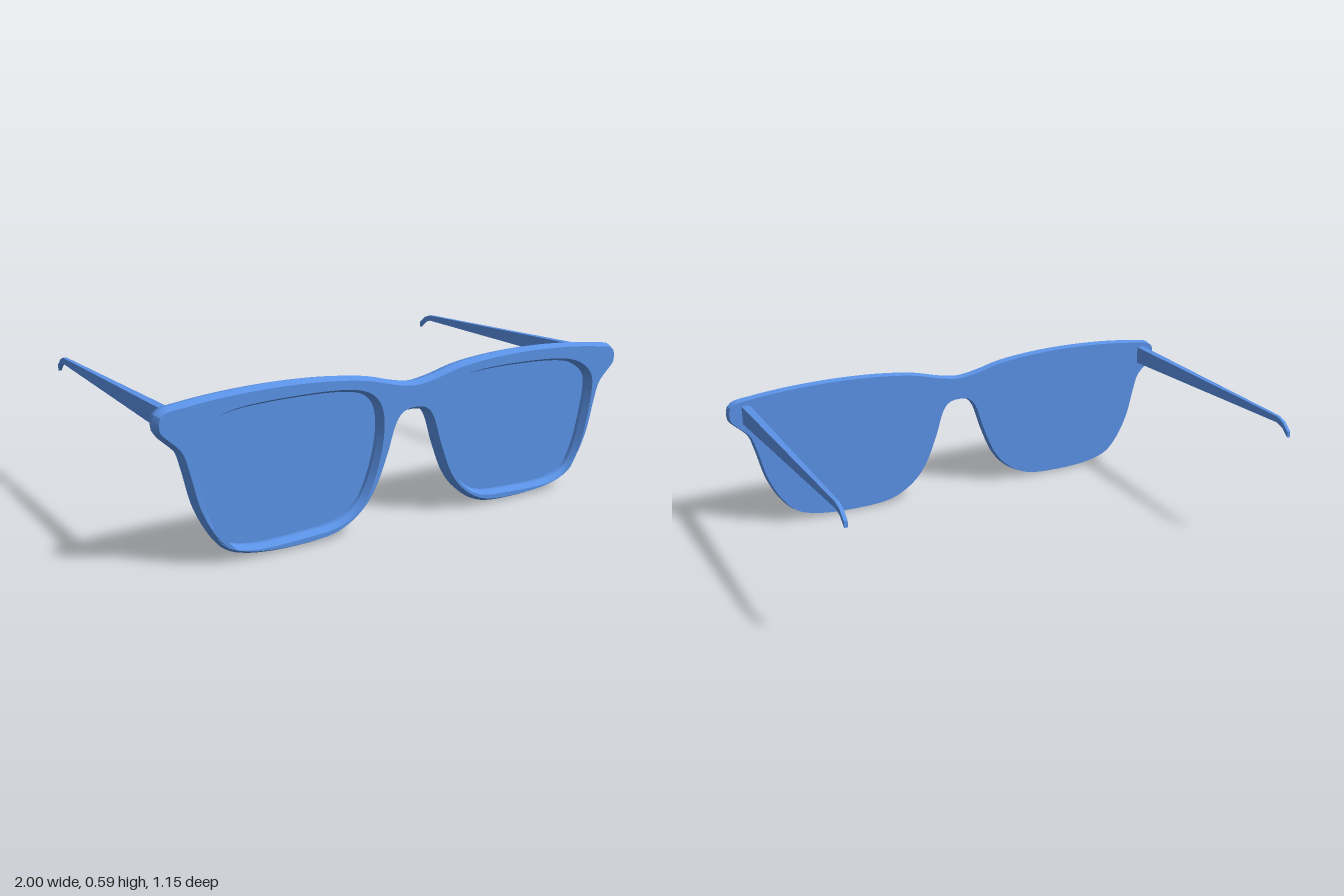
import * as THREE from 'three';
import { mergeGeometries, toCreasedNormals } from 'three/addons/utils/BufferGeometryUtils.js';

const material = new THREE.MeshStandardMaterial({ color: 0x5a92e6 });
const BACK = 0.52, MID = 0.549, FRONT = 0.575;

// Right half of the frame outline, from the top of the bridge round to the nose arch
const halfOutline = [
  [0.08, 0.538], [0.2, 0.567], [0.35, 0.585], [0.55, 0.592], [0.75, 0.585], [0.9, 0.57],
  [0.975, 0.557], [0.998, 0.535], [0.998, 0.48], [0.975, 0.455], [0.925, 0.405], [0.903, 0.34],
  [0.866, 0.205], [0.81, 0.1], [0.755, 0.045], [0.67, 0.016], [0.5, 0.003], [0.33, 0.017],
  [0.23, 0.07], [0.165, 0.145], [0.11, 0.27], [0.07, 0.385], [0.045, 0.414],
];
// Front edge of the lens opening on the +x side
const opening = [
  [0.877, 0.4], [0.868, 0.45], [0.82, 0.495], [0.74, 0.525], [0.5, 0.541], [0.257, 0.53],
  [0.187, 0.505], [0.15, 0.465], [0.135, 0.4], [0.145, 0.295], [0.187, 0.165], [0.23, 0.1],
  [0.31, 0.05], [0.47, 0.033], [0.685, 0.036], [0.77, 0.068], [0.815, 0.135], [0.85, 0.24],
];

// Smooth closed contour, anticlockwise
function contour(points, count) {
  const curve = new THREE.CatmullRomCurve3(points.map(([x, y]) => new THREE.Vector3(x, y, 0)), true);
  const pts = curve.getSpacedPoints(count).slice(0, -1).map((p) => new THREE.Vector2(p.x, p.y));
  return THREE.ShapeUtils.isClockWise(pts) ? pts.reverse() : pts;
}

// Moves a contour sideways, to the left of its direction of travel
function inset(pts, d) {
  const n = pts.length;
  return pts.map((p, i) => {
    const t = pts[(i + 1) % n].clone().sub(pts[(i + n - 1) % n]).normalize();
    return new THREE.Vector2(p.x - t.y * d, p.y + t.x * d);
  });
}

// Side wall through the [z, inset] steps of a profile, back to front
function wall(pts, profile) {
  const rings = profile.map(([z, d]) => inset(pts, d).map((p) => [p.x, p.y, z]));
  const position = [];
  for (let k = 0; k + 1 < rings.length; k++) {
    for (let i = 0; i < pts.length; i++) {
      const j = (i + 1) % pts.length;
      const [a, b, c, d] = [rings[k][i], rings[k][j], rings[k + 1][j], rings[k + 1][i]];
      position.push(...a, ...b, ...c, ...a, ...c, ...d);
    }
  }
  return new THREE.BufferGeometry().setAttribute('position', new THREE.Float32BufferAttribute(position, 3));
}

// Flat face at one end of a plate
function cap(outer, holes, z, facingBack) {
  const shape = new THREE.Shape(outer);
  shape.holes = holes.map((h) => new THREE.Path(h));
  const geometry = new THREE.ShapeGeometry(shape);
  if (facingBack) geometry.index.array.reverse();
  const flat = geometry.toNonIndexed().translate(0, 0, z);
  flat.deleteAttribute('normal');
  flat.deleteAttribute('uv');
  return flat;
}

// Closed plate with profiled edges and optional holes
function plate(name, outer, profile, holes = [], holeProfile = []) {
  const [z0, d0] = profile[0];
  const [z1, d1] = profile[profile.length - 1];
  const h0 = holes.map((h) => inset(h, holeProfile[0][1]));
  const h1 = holes.map((h) => inset(h, holeProfile[holeProfile.length - 1][1]));
  const geometry = mergeGeometries([
    wall(outer, profile),
    ...holes.map((h) => wall(h, holeProfile)),
    cap(inset(outer, d0), h0, z0, true),
    cap(inset(outer, d1), h1, z1, false),
  ]);
  const mesh = new THREE.Mesh(toCreasedNormals(geometry, 0.42), material);
  mesh.name = name;
  return mesh;
}

// Temple arm sections, tip to hinge: z, bottom, top, inner x, outer x
const armSections = [
  [-0.575, 0.46, 0.484, 0.891, 0.904],
  [-0.54, 0.49, 0.513, 0.892, 0.905],
  [-0.505, 0.501, 0.525, 0.893, 0.907],
  [0.523, 0.467, 0.541, 0.912, 0.945],
];

function templeArm(name, side) {
  const last = armSections.length - 1;
  const geometry = new THREE.BoxGeometry(1, 1, 1, 1, 1, last);
  const pos = geometry.attributes.position;
  for (let i = 0; i < pos.count; i++) {
    const [z, bottom, top, inner, outer] = armSections[Math.round((pos.getZ(i) + 0.5) * last)];
    const x = pos.getX(i) * side > 0 ? outer : inner;
    pos.setXYZ(i, side * x, pos.getY(i) > 0 ? top : bottom, z);
  }
  const flat = geometry.toNonIndexed();
  flat.computeVertexNormals();
  const mesh = new THREE.Mesh(flat, material);
  mesh.name = name;
  return mesh;
}

export function createModel() {
  const group = new THREE.Group();
  group.name = 'glasses';

  const mirror = ([x, y]) => [-x, y];
  const outline = contour(
    [[0, 0.527], ...halfOutline, [0, 0.422], ...halfOutline.map(mirror).reverse()], 260);
  // Lens edges sit just inside the chamfered openings
  const lensEdges = [1, -1].map((s) =>
    inset(contour(s > 0 ? opening : opening.map(mirror), 100), 0.012));

  // Frame front with chamfered rim and openings
  group.add(plate('frameFront', outline,
    [[BACK, 0.006], [MID, 0], [FRONT, 0.013]],
    lensEdges.map((e) => [...e].reverse()),
    [[BACK, 0], [MID, 0], [FRONT, 0.012]]));

  // Lenses flush with the back, and the arms
  [['left', 1], ['right', -1]].forEach(([side, s], i) => {
    group.add(plate(`${side}Lens`, lensEdges[i], [[BACK, 0], [0.534, 0]]));
    group.add(templeArm(`${side}TempleArm`, s));
  });
  return group;
}
